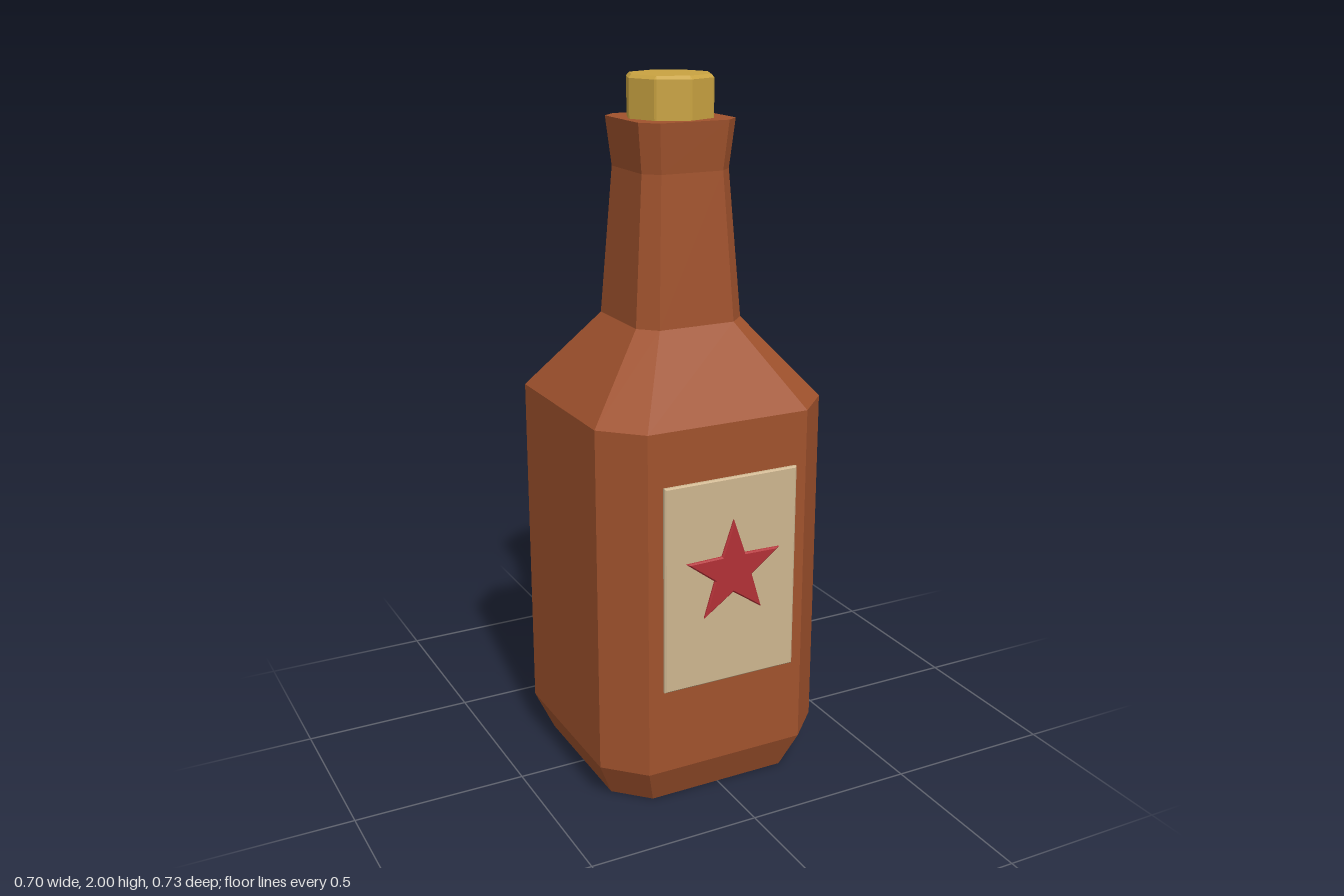
import * as THREE from 'three';

const glass = new THREE.MeshStandardMaterial({ name: 'brownGlass', color: 0xa0522d });
const gold = new THREE.MeshStandardMaterial({ name: 'goldCap', color: 0xc9a341 });
const paper = new THREE.MeshStandardMaterial({ name: 'tanPaper', color: 0xcdb58f });
const red = new THREE.MeshStandardMaterial({ name: 'red', color: 0xb23036 });

// Faceted solid through [height, outline] rings; outlines run counter-clockwise in xy, height is z
function loft(rings) {
  const pos = [];
  const tri = (...corners) => corners.forEach((c) => pos.push(...c));
  const loops = rings.map(([h, outline]) => outline.map(([x, y]) => [x, y, h]));
  const n = loops[0].length;
  const last = loops.length - 1;
  for (let i = 0; i < n; i++) {
    const j = (i + 1) % n;
    for (let k = 0; k < last; k++) {
      const a = loops[k], b = loops[k + 1];
      tri(a[i], a[j], b[j]);
      tri(a[i], b[j], b[i]);
    }
    tri([0, 0, rings[0][0]], loops[0][j], loops[0][i]);
    tri([0, 0, rings[last][0]], loops[last][i], loops[last][j]);
  }
  const geometry = new THREE.BufferGeometry();
  geometry.setAttribute('position', new THREE.Float32BufferAttribute(pos, 3));
  geometry.computeVertexNormals();
  return geometry;
}

// Square with cut corners: half width w, half length f of the flat side
const cutSquare = (w, f) => [
  [w, -f], [w, f], [f, w], [-f, w], [-w, f], [-w, -f], [-f, -w], [f, -w],
];

const rectangle = (w, h) => [[w, -h], [w, h], [-w, h], [-w, -h]];

// Octagon whose edges are pushed out, leaving two points at each corner
function bevelOctagon(r, offset) {
  const points = [];
  for (let i = 0; i < 8; i++) {
    const a = (i * Math.PI) / 4;
    for (const s of [-1, 1]) {
      const n = a + (s * Math.PI) / 8;
      points.push([
        r * Math.cos(a) + offset * Math.cos(n),
        r * Math.sin(a) + offset * Math.sin(n),
      ]);
    }
  }
  return points;
}

function star(outer, inner) {
  return Array.from({ length: 10 }, (_, i) => {
    const a = Math.PI / 2 + (i * Math.PI) / 5;
    const r = i % 2 ? inner : outer;
    return [r * Math.cos(a), r * Math.sin(a)];
  });
}

export function createModel() {
  const model = new THREE.Group();
  model.name = 'bottle';
  const add = (name, geometry, material, x, y, z) => {
    const mesh = new THREE.Mesh(geometry, material);
    mesh.name = name;
    mesh.position.set(x, y, z);
    model.add(mesh);
  };
  const axisZ = -0.018;

  // Body, shoulder, neck and flared lip
  const body = loft([
    [0, cutSquare(0.3, 0.21)],
    [0.11, cutSquare(0.348, 0.244)],
    [1.115, cutSquare(0.348, 0.244)],
    [1.338, cutSquare(0.162, 0.114)],
    [1.75, cutSquare(0.132, 0.093)],
    [1.885, cutSquare(0.146, 0.103)],
  ]).rotateX(-Math.PI / 2);
  add('bottleBody', body, glass, 0, 0, axisZ);

  // Cap with a bevelled top edge
  const cap = loft([
    [1.88, bevelOctagon(0.115, 0.009)],
    [1.991, bevelOctagon(0.115, 0.009)],
    [2, bevelOctagon(0.115, 0.0002)],
  ]).rotateX(-Math.PI / 2);
  add('cap', cap, gold, 0, 0, axisZ);

  // Front label and its star, both with bevelled rims
  const label = loft([
    [0, rectangle(0.199, 0.296)],
    [0.004, rectangle(0.204, 0.3)],
    [0.011, rectangle(0.204, 0.3)],
    [0.015, rectangle(0.199, 0.296)],
  ]);
  add('label', label, paper, 0, 0.666, 0.335);

  const emblem = loft([
    [0, star(0.141, 0.056)],
    [0.004, star(0.152, 0.061)],
    [0.008, star(0.152, 0.061)],
    [0.012, star(0.141, 0.056)],
  ]);
  add('labelStar', emblem, red, 0, 0.697, 0.353);

  return model;
}
